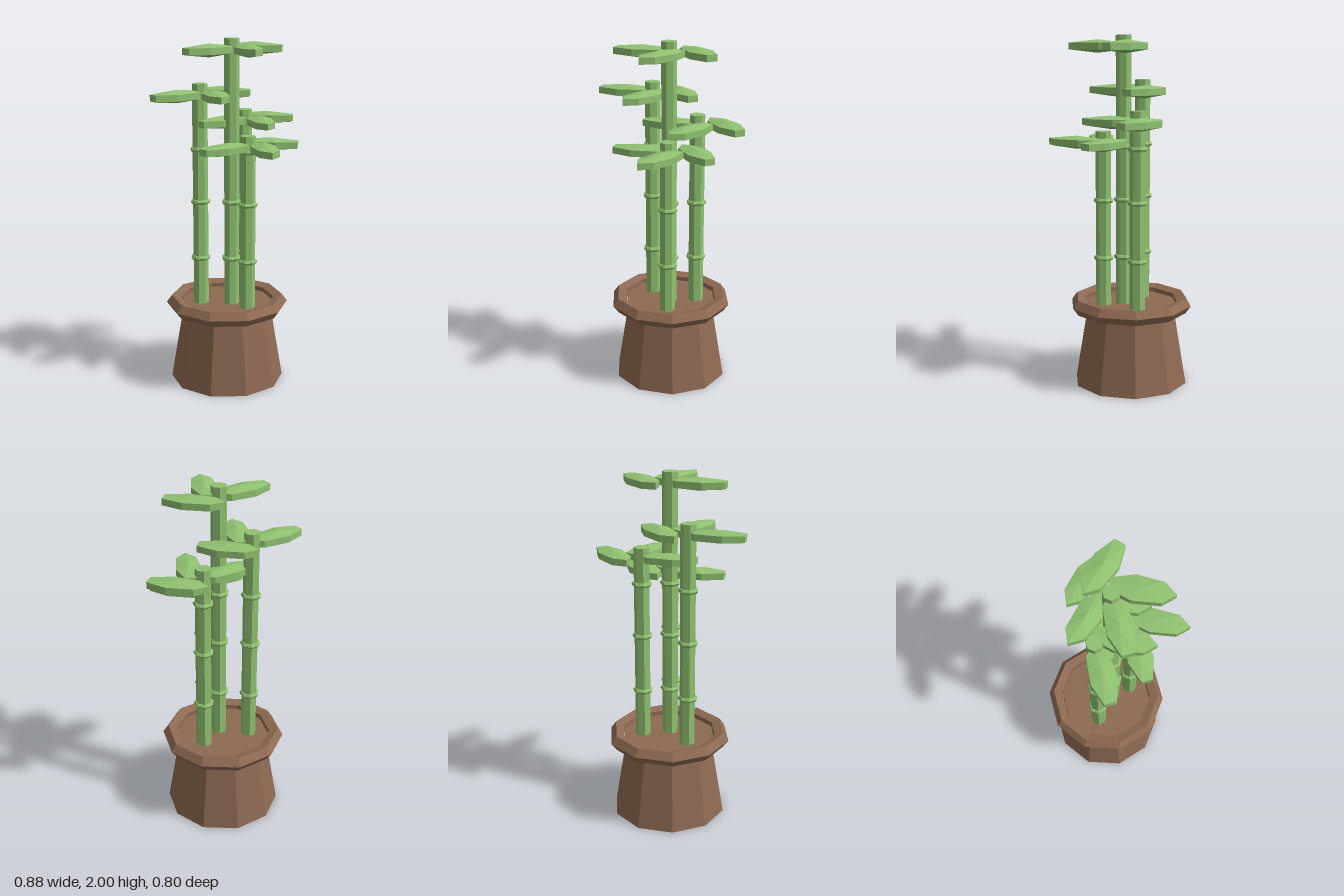
import * as THREE from 'three';

export function createModel() {
  const model = new THREE.Group();
  model.name = 'pottedBamboo';

  const green = new THREE.MeshStandardMaterial({ color: 0x90c171, flatShading: true });
  green.name = 'bamboo green';
  const brown = new THREE.MeshStandardMaterial({ color: 0x8e6a52, flatShading: true });
  brown.name = 'clay brown';

  function add(parent, name, geometry, material, x = 0, y = 0, z = 0) {
    const mesh = new THREE.Mesh(geometry, material);
    mesh.name = name;
    mesh.position.set(x, y, z);
    parent.add(mesh);
    return mesh;
  }

  // Ten-sided pot, with corners on the x axis
  const pot = new THREE.Group();
  pot.name = 'pot';
  pot.position.set(0.005, 0, -0.055);
  model.add(pot);
  add(pot, 'potBody', new THREE.CylinderGeometry(0.254, 0.33, 0.45, 10).rotateY(Math.PI / 2), brown, 0, 0.225);
  add(pot, 'potRim', new THREE.TorusGeometry(0.31, 0.045, 5, 10).rotateX(Math.PI / 2), brown, 0, 0.465);
  add(pot, 'soil', new THREE.CylinderGeometry(0.27, 0.27, 0.02, 10).rotateY(Math.PI / 2), brown, 0, 0.458);

  // Shared shapes: a swollen joint ring and a faceted lens-like leaf
  const ringProfile = [[0.043, -0.014], [0.051, -0.012], [0.058, 0], [0.051, 0.012], [0.043, 0.014]]
    .map(([r, y]) => new THREE.Vector2(r, y));
  const ringGeometry = new THREE.LatheGeometry(ringProfile, 7);
  const leafGeometry = new THREE.SphereGeometry(1, 7, 3).scale(0.2, 0.037, 0.083);

  // Leaf offsets from the stalk and turn about y
  const leaves = [
    [-0.152, 0, Math.PI],
    [0, 0.148, 1.116],
    [0.163, 0, -0.835],
  ];

  // Stalks: x, z and height of the top
  const stalks = [
    [0.007, -0.014, 2.0],
    [-0.125, -0.135, 1.75],
    [0.152, -0.08, 1.59],
    [0.032, 0.102, 1.47],
  ];
  const base = 0.44;

  for (const [x, z, top] of stalks) {
    const stalk = new THREE.Group();
    stalk.name = 'bambooStalk';
    stalk.position.set(x, 0, z);
    model.add(stalk);

    add(stalk, 'stem', new THREE.CylinderGeometry(0.045, 0.045, top - base, 7), green, 0, (top + base) / 2);
    for (const y of [0.745, 1.078, 1.381]) add(stalk, 'jointRing', ringGeometry, green, 0, y);
    for (const [dx, dz, turn] of leaves) {
      add(stalk, 'leaf', leafGeometry, green, dx, top - 0.061, dz).rotation.y = turn;
    }
  }

  return model;
}
